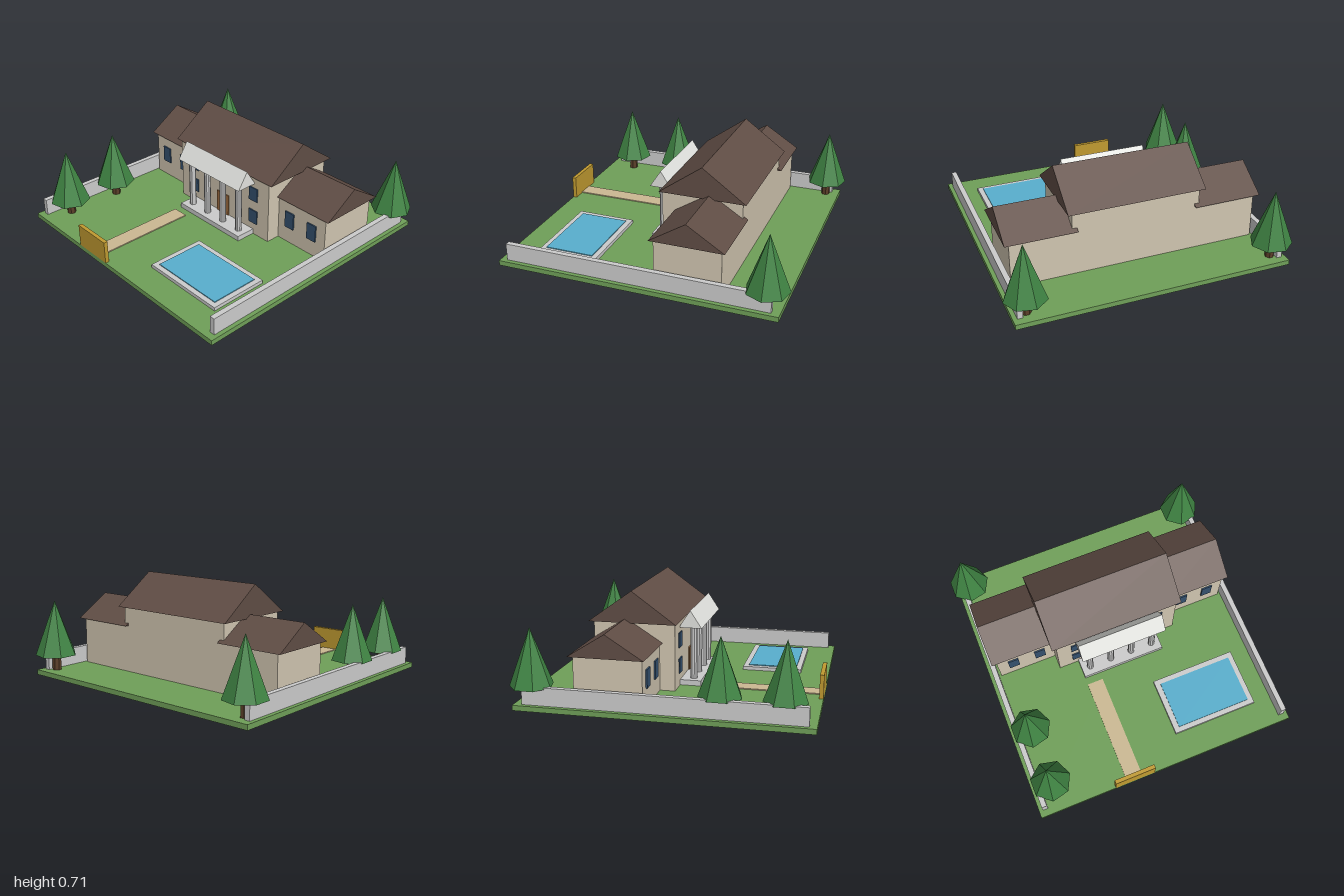
import * as THREE from 'three';

const paint = (color) => new THREE.MeshStandardMaterial({ color, flatShading: true });

export function createModel() {
  const model = new THREE.Group();
  const grass = paint(0x6f9f58), stucco = paint(0xd0c5b0), tile = paint(0x604d45);
  const glass = paint(0x34506e), wood = paint(0x9c6b3f), brass = paint(0xc09a30);
  const sand = paint(0xcbb892), water = paint(0x58aecd), leaf = paint(0x3f8343);
  const bark = paint(0x5a3e28), white = paint(0xe2e3df), grey = paint(0xcccccc);
  const G = 0.035; // lawn level
  const CX = -0.01; // symmetry line of the house

  const add = (name, geometry, material, x = 0, y = 0, z = 0) => {
    const mesh = new THREE.Mesh(geometry, material);
    mesh.name = name;
    mesh.position.set(x, y, z);
    model.add(mesh);
    return mesh;
  };
  // Box given by its limits on each axis
  const block = (name, material, x0, x1, y0, y1, z0, z1) =>
    add(name, new THREE.BoxGeometry(x1 - x0, y1 - y0, z1 - z0), material,
      (x0 + x1) / 2, (y0 + y1) / 2, (z0 + z1) / 2);
  // Triangular prism with its ridge along x
  const gable = (name, material, x0, x1, y0, y1, z0, z1) => {
    const half = (z1 - z0) / 2;
    const shape = new THREE.Shape();
    shape.moveTo(-half, 0).lineTo(half, 0).lineTo(0, y1 - y0).closePath();
    const geometry = new THREE.ExtrudeGeometry(shape, { depth: x1 - x0, bevelEnabled: false });
    geometry.rotateY(Math.PI / 2);
    return add(name, geometry, material, x0, y0, (z0 + z1) / 2);
  };

  // Lawn, path and gate
  block('lawn', grass, -0.97, 0.95, 0, G, -0.945, 0.98);
  block('path', sand, -0.32, -0.203, G, 0.042, 0.2, 0.953);
  block('gate', brass, -0.41, -0.113, G, 0.197, 0.952, 0.98);

  // Central house
  block('mainHouse', stucco, CX - 0.453, CX + 0.453, G, 0.495, -0.558, 0);
  gable('mainRoof', tile, CX - 0.487, CX + 0.487, 0.495, 0.712, -0.588, 0.015);
  block('door', wood, CX - 0.06, CX + 0.06, G, 0.235, -0.01, 0.008);

  // Mirrored wings, windows and boundary walls
  for (const side of [-1, 1]) {
    const span = (name, build, material, a, b, ...rest) =>
      build(name, material, CX + Math.min(side * a, side * b), CX + Math.max(side * a, side * b), ...rest);
    span('wing', block, stucco, 0.44, 0.876, G, 0.363, -0.558, -0.105);
    span('wingRoof', gable, tile, 0.42, 0.91, 0.363, 0.521, -0.586, -0.085);
    for (const y of [0.127, 0.307])
      span('mainWindow', block, glass, 0.268, 0.348, y, y + 0.103, -0.01, 0.008);
    for (const x of [0.52, 0.72])
      span('wingWindow', block, glass, x, x + 0.078, 0.155, 0.278, -0.115, -0.095);
    span('boundaryWall', block, grey, 0.894, 0.931, G, 0.155, -0.89, 0.933);
  }

  // Portico
  block('porch', grey, CX - 0.308, CX + 0.308, G, 0.072, -0.01, 0.145);
  gable('porticoRoof', white, CX - 0.312, CX + 0.312, 0.44, 0.56, -0.008, 0.15);
  for (let i = 0; i < 4; i++)
    add('column', new THREE.CylinderGeometry(0.024, 0.024, 0.37, 10), grey,
      CX + (i - 1.5) * 0.162, 0.256, 0.082);

  // Pool
  block('poolRim', grey, 0.135, 0.757, G, 0.06, 0.364, 0.783);
  block('poolWater', water, 0.175, 0.72, 0.04, 0.066, 0.402, 0.747);

  // Seven-sided trees
  for (const [x, z] of [[-0.872, -0.845], [0.852, -0.845], [-0.82, 0.375], [-0.82, 0.78]]) {
    add('treeTrunk', new THREE.CylinderGeometry(0.03, 0.032, 0.13, 7), bark, x, 0.095, z);
    add('treeCrown', new THREE.ConeGeometry(0.144, 0.385, 7, 1, false, Math.PI / 2), leaf, x, 0.337, z);
  }
  return model;
}
